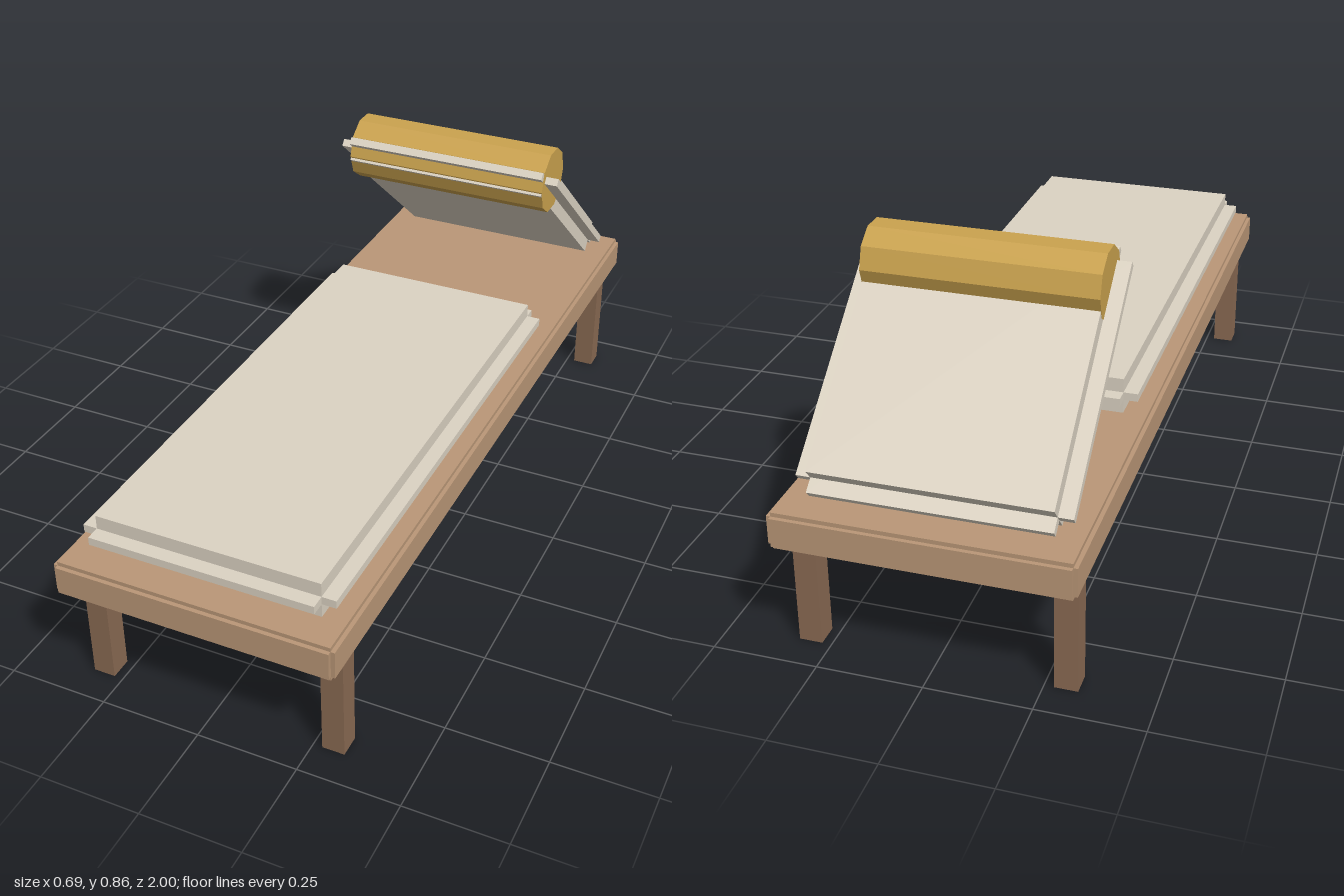
import * as THREE from 'three';

const wood = new THREE.MeshStandardMaterial({ name: 'wood', color: 0xba9777 });
const darkWood = new THREE.MeshStandardMaterial({ name: 'darkWood', color: 0x8a6a53 });
const linen = new THREE.MeshStandardMaterial({ name: 'linen', color: 0xdcd3c3 });
const gold = new THREE.MeshStandardMaterial({ name: 'gold', color: 0xcaa24e });

// Three crossing boxes: every edge of the block is notched inward by r.
function notchedBlock(name, w, h, d, r, material) {
  const group = new THREE.Group();
  group.name = name;
  const s = 2 * r;
  const sizes = [[w, h - s, d - s], [w - s, h, d - s], [w - s, h - s, d]];
  sizes.forEach((size, i) => {
    const mesh = new THREE.Mesh(new THREE.BoxGeometry(...size), material);
    mesh.name = name + ['Wide', 'Tall', 'Long'][i];
    group.add(mesh);
  });
  return group;
}

export function createModel() {
  const model = new THREE.Group();
  model.name = 'lounger';

  // Bed frame
  const frame = notchedBlock('frame', 0.69, 0.09, 2, 0.01, wood);
  frame.position.y = 0.335;
  model.add(frame);

  // Four square legs
  const legGeometry = new THREE.BoxGeometry(0.055, 0.29, 0.055);
  for (const x of [-1, 1]) {
    for (const z of [-1, 1]) {
      const leg = new THREE.Mesh(legGeometry, darkWood);
      leg.name = (z > 0 ? 'front' : 'back') + (x > 0 ? 'Left' : 'Right') + 'Leg';
      leg.position.set(x * 0.3, 0.145, z * 0.89);
      model.add(leg);
    }
  }

  // Flat seat cushion
  const seat = notchedBlock('seatCushion', 0.624, 0.09, 1.335, 0.035, linen);
  seat.position.set(0, 0.425, 0.278);
  model.add(seat);

  // Tilted backrest cushion, raised toward the middle of the bed
  const backrest = notchedBlock('backrest', 0.624, 0.09, 0.67, 0.035, linen);
  backrest.position.set(0, 0.612, -0.668);
  backrest.rotation.x = -THREE.MathUtils.degToRad(40);
  model.add(backrest);

  // Ten-sided bolster along the top of the backrest
  const bolsterGeometry = new THREE.CylinderGeometry(0.0875, 0.0875, 0.556, 10).toNonIndexed();
  bolsterGeometry.computeVertexNormals();
  const bolster = new THREE.Mesh(bolsterGeometry, gold);
  bolster.name = 'bolster';
  bolster.rotation.z = Math.PI / 2;
  bolster.position.set(0, 0.779, -0.5);
  model.add(bolster);

  return model;
}
